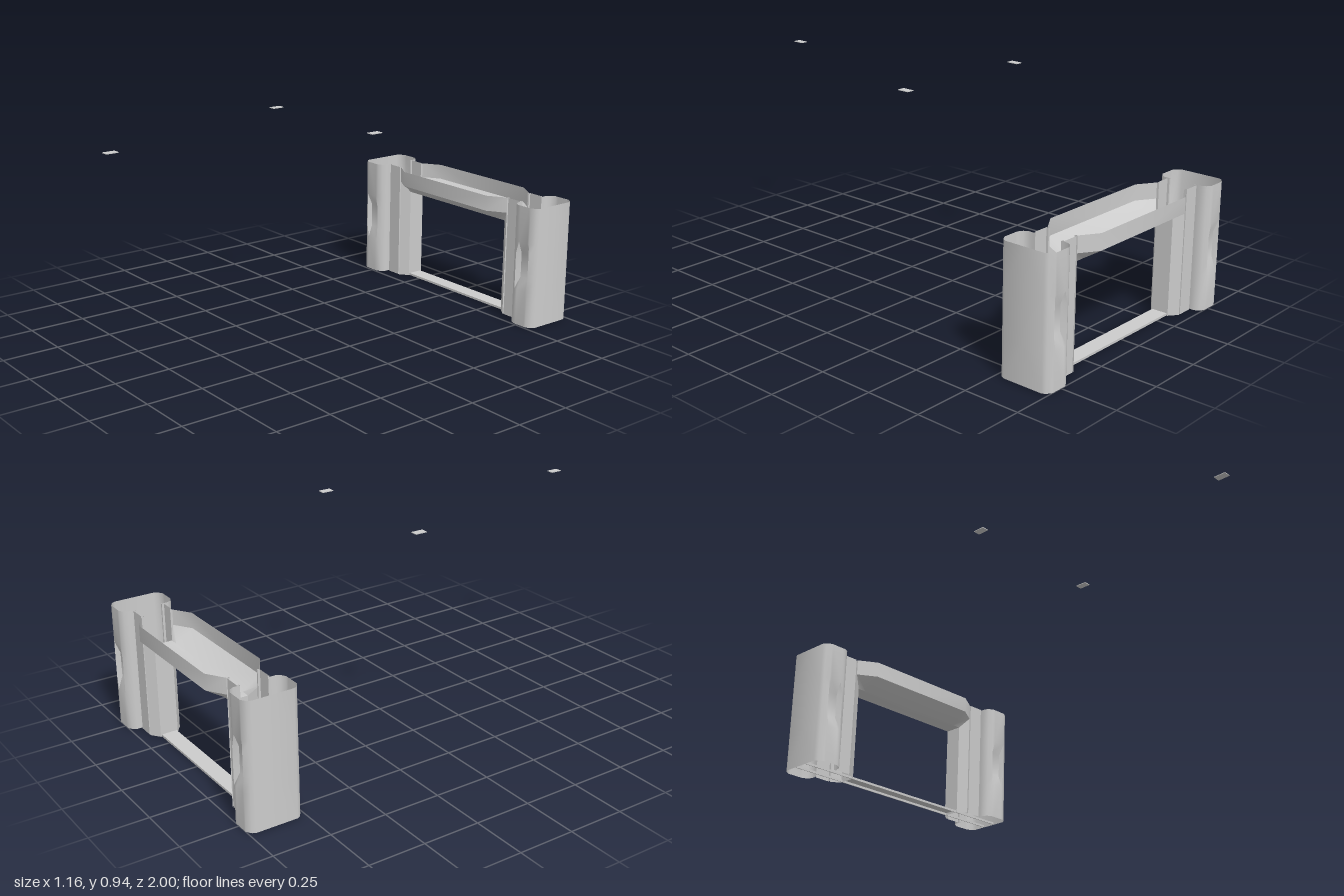
import * as THREE from 'three';
import { mergeVertices, toCreasedNormals } from 'three/addons/utils/BufferGeometryUtils.js';

const MID_Z = -0.88; // depth axis of the frame
const material = new THREE.MeshStandardMaterial({ color: 0xcccccc, side: THREE.DoubleSide });

// Surface through rows of [x, y, depth] points, mirrored by the signs sx and sz
function surface(rows, sx, sz) {
  const n = rows[0].length;
  const positions = rows.flat().flatMap(([x, y, d]) => [x * sx, y, MID_Z + d * sz]);
  const index = [];
  for (let i = 0; i < rows.length - 1; i++) {
    for (let j = 0; j < n - 1; j++) {
      const a = i * n + j, b = a + 1, c = a + n, d = c + 1;
      if (sx * sz > 0) index.push(a, c, b, b, c, d);
      else index.push(a, b, c, b, d, c);
    }
  }
  const geometry = new THREE.BufferGeometry();
  geometry.setAttribute('position', new THREE.Float32BufferAttribute(positions, 3));
  geometry.setIndex(index);
  return toCreasedNormals(mergeVertices(geometry), 0.7);
}

export function createModel() {
  const model = new THREE.Group();
  model.name = 'openFrame';
  const add = (name, geometry, x = 0, y = 0, z = 0) => {
    const mesh = new THREE.Mesh(geometry, material);
    mesh.name = name;
    mesh.position.set(x, y, z);
    model.add(mesh);
  };

  // Pillar outline in plan: outer side, rounded corner, front, inner corner
  const pillarPlan = [
    [0.58, 0], [0.58, 0.09], [0.572, 0.106], [0.55, 0.12], [0.54, 0.12],
    [0.49, 0.12], [0.475, 0.12], [0.455, 0.108], [0.445, 0.09], [0.445, 0.07],
  ];
  // Recessed panel with a narrow groove along each edge
  const panelPlan = [
    [0.445, 0.07], [0.445, 0.06], [0.437, 0.06], [0.437, 0.07],
    [0.367, 0.07], [0.367, 0.06], [0.36, 0.06], [0.36, 0.07],
  ];
  const lintelPlan = [[0.36, 0.07], [0.28, 0.12], [0, 0.12]];
  const extrude = (plan, heights) => heights.map(y => plan.map(([x, d]) => [x, y, d]));

  // Pillar wall with a shallow hand-sized dent in its face
  const pillarRows = extrude(pillarPlan, [0, 0.165, 0.22, 0.33, 0.385, 0.55]);
  for (const row of [2, 3]) for (const col of [4, 5]) pillarRows[row][col][2] -= 0.02;

  // Opening: inner lining, then the splayed reveal out to the faces
  const innerEdge = [[0.32, 0], [0.32, 0.43], [0.28, 0.43], [0, 0.43]];
  const openingRows = [
    innerEdge.map(([x, y]) => [x, y, 0]),
    innerEdge.map(([x, y]) => [x, y, 0.04]),
    [[0.36, 0, 0.07], [0.36, 0.48, 0.07], [0.28, 0.48, 0.12], [0, 0.48, 0.12]],
  ];

  // Every shell part repeats in four mirrored quarters
  for (const sx of [1, -1]) {
    for (const sz of [1, -1]) {
      const place = (sz > 0 ? 'front' : 'back') + (sx > 0 ? 'Left' : 'Right');
      add(place + 'Pillar', surface(pillarRows, sx, sz));
      add(place + 'Panel', surface(extrude(panelPlan, [0, 0.55]), sx, sz));
      add(place + 'Lintel', surface(extrude(lintelPlan, [0.48, 0.55]), sx, sz));
      add(place + 'Opening', surface(openingRows, sx, sz));
    }
  }

  // Sill plate and the two thin rails running under it
  add('sill', new THREE.PlaneGeometry(0.64, 0.07).rotateX(-Math.PI / 2), 0, 0.01, MID_Z);
  for (const s of [1, -1]) {
    add(s > 0 ? 'frontRail' : 'backRail',
      new THREE.BoxGeometry(1.155, 0.01, 0.004), 0, 0.005, MID_Z + s * 0.033);
  }

  // Three small floating plates
  for (const [x, z] of [[-0.345, -0.052], [0.335, -0.052], [-0.005, 0.973]]) {
    add('markerPlate', new THREE.BoxGeometry(0.032, 0.003, 0.054), x, 0.94, z);
  }
  return model;
}
